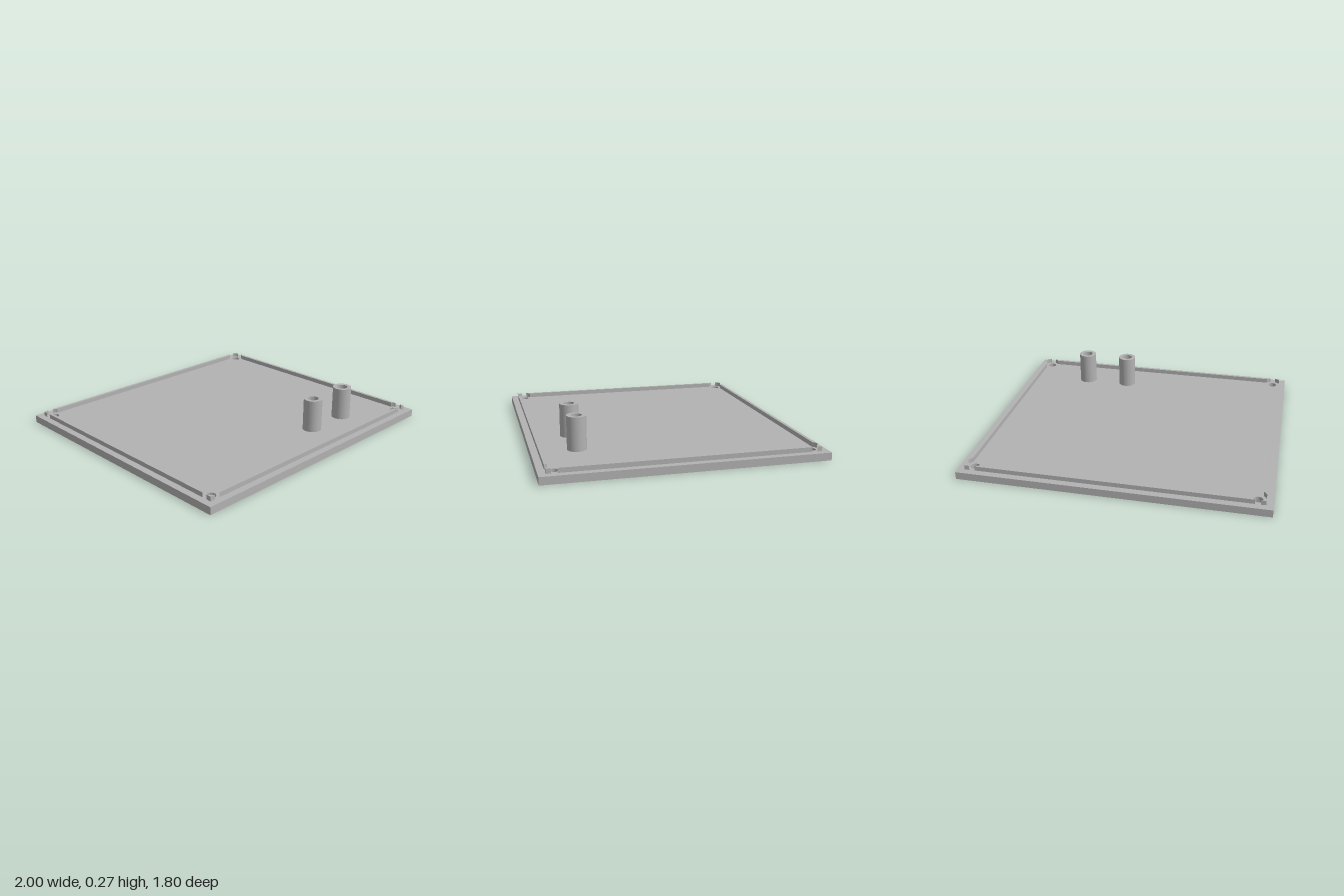
import * as THREE from 'three';
import { toCreasedNormals } from 'three/addons/utils/BufferGeometryUtils.js';

const HX = 0.905, HZ = 0.805;        // screw hole centres
const EDGE = 0.05, INNER = 0.03;     // lip faces measured outward from the hole centres
const CLEAR = 0.053;                 // round clearance cut in the lip
const BOSSES = [[0.22, 0.61], [0.535, 0.61]];
const BORE = 0.036;

export function createModel() {
  const grey = new THREE.MeshStandardMaterial({ color: 0xb2b2b2 });
  grey.name = 'grey plastic';
  const model = new THREE.Group();
  model.name = 'enclosureLid';

  // Extrude a plan shape (shape y = -z) upward from y0 to y1
  const slab = (name, shape, y0, y1) => {
    let geo = new THREE.ExtrudeGeometry(shape, { depth: y1 - y0, bevelEnabled: false, curveSegments: 32 });
    geo.rotateX(-Math.PI / 2);
    geo.translate(0, y0, 0);
    geo = toCreasedNormals(geo, 0.6);
    const mesh = new THREE.Mesh(geo, grey);
    mesh.name = name;
    model.add(mesh);
    return mesh;
  };

  const circle = (x, z, r) => new THREE.Path().absarc(x, -z, r, 0, Math.PI * 2, true);

  // Base plate, with wider screw head recesses underneath
  const plateShape = (screwRadius) => {
    const s = new THREE.Shape([[-1, -0.9], [1, -0.9], [1, 0.9], [-1, 0.9]].map(p => new THREE.Vector2(...p)));
    for (const sx of [-1, 1]) for (const sz of [-1, 1]) s.holes.push(circle(sx * HX, sz * HZ, screwRadius));
    for (const [x, z] of BOSSES) s.holes.push(circle(x, z, BORE));
    return s;
  };
  slab('plateLower', plateShape(0.047), 0, 0.028);
  slab('plateUpper', plateShape(0.03), 0.028, 0.05);

  // Locating lip strips, ends scooped around the screw holes
  const aOut = Math.asin(EDGE / CLEAR), aIn = Math.asin(INNER / CLEAR);
  const strip = (hx, hz) => {
    const s = new THREE.Shape();
    s.absarc(-hx, hz, CLEAR, aIn, aOut, false);
    s.absarc(hx, hz, CLEAR, Math.PI - aOut, Math.PI - aIn, false);
    s.closePath();
    return s;
  };
  ['lipBack', 'lipLeft', 'lipFront', 'lipRight'].forEach((name, i) => {
    const shape = i % 2 ? strip(HZ, HX) : strip(HX, HZ);
    slab(name, shape, 0.05, 0.08).rotation.y = -i * Math.PI / 2;
  });

  // Small lip remnants at the four corners
  for (const sx of [-1, 1]) for (const sz of [-1, 1]) {
    const pts = [new THREE.Vector2(sx * (HX + EDGE), -sz * (HZ + EDGE))];
    for (let i = 0; i <= 8; i++) {
      const a = aOut + (Math.PI / 2 - 2 * aOut) * i / 8;
      pts.push(new THREE.Vector2(sx * (HX + CLEAR * Math.cos(a)), -sz * (HZ + CLEAR * Math.sin(a))));
    }
    slab('lipCorner', new THREE.Shape(pts), 0.05, 0.08);
  }

  // Hollow standing bosses
  for (const [x, z] of BOSSES) {
    const s = new THREE.Shape();
    s.absarc(x, -z, 0.0625, 0, Math.PI * 2, false);
    s.holes.push(circle(x, z, BORE));
    slab('boss', s, 0.05, 0.27);
  }
  return model;
}
